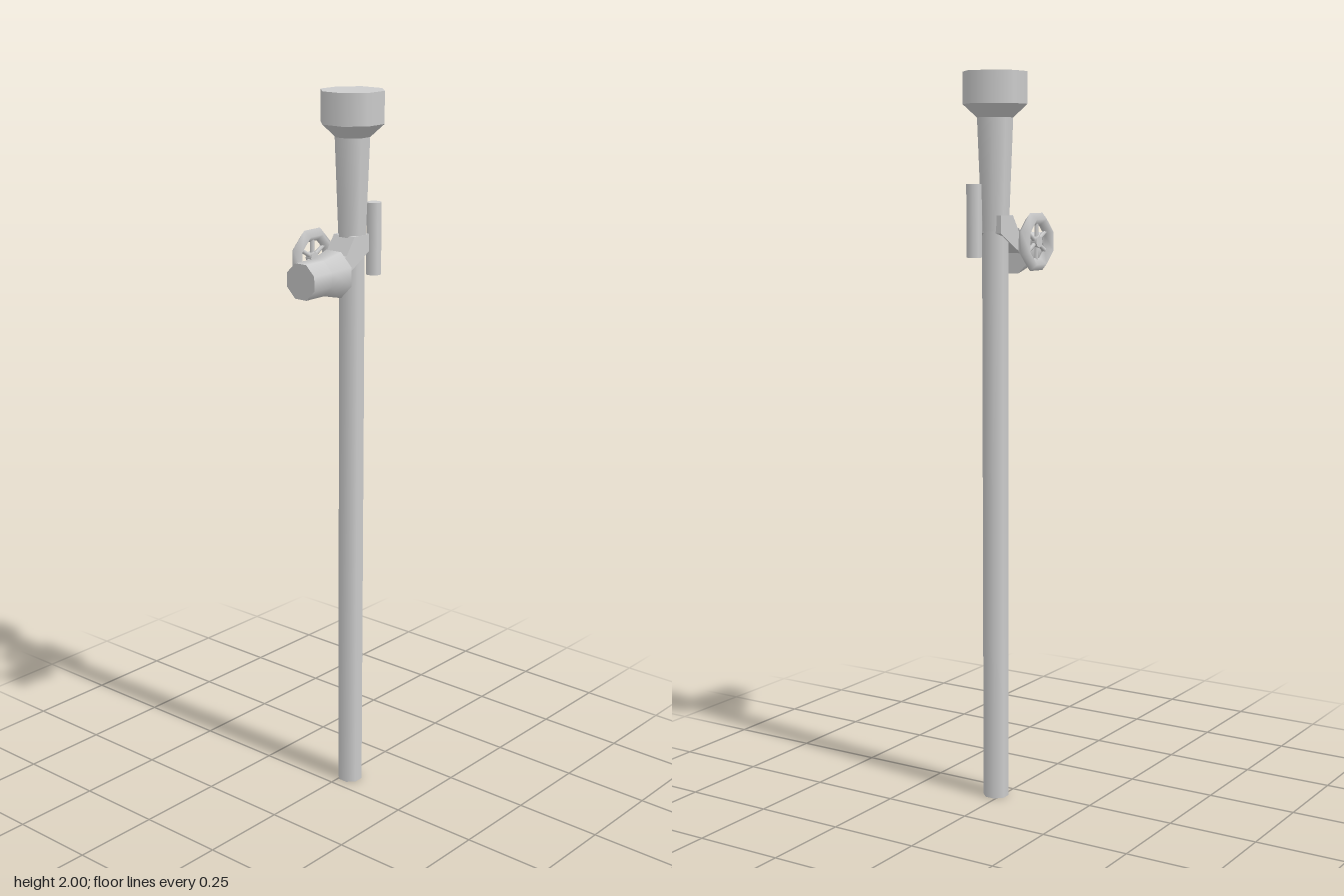
import * as THREE from 'three';

export function createModel() {
  const model = new THREE.Group();
  const grey = new THREE.MeshStandardMaterial({ color: 0xcccccc });
  grey.name = 'plain grey';
  const PX = 0.018, PZ = -0.062; // axis of the upright pipe

  function add(name, geometry, parent = model) {
    const mesh = new THREE.Mesh(geometry, grey);
    mesh.name = name;
    parent.add(mesh);
    return mesh;
  }
  // Eight-sided section with its flats squared to the axes, from y0 up to y1
  function section(r0, r1, y0, y1, open = false) {
    return new THREE.CylinderGeometry(r1, r0, y1 - y0, 8, 1, open)
      .rotateY(Math.PI / 8).translate(0, (y0 + y1) / 2, 0);
  }

  // Upright pipe, flared neck and top drum
  const upright = new THREE.Group();
  upright.name = 'upright';
  upright.position.set(PX, 0, PZ);
  model.add(upright);
  add('pipe', section(0.036, 0.036, 0, 1.58), upright);
  add('neck', section(0.037, 0.049, 1.58, 1.88), upright);
  add('drumBase', section(0.049, 0.0877, 1.88, 1.915), upright);
  add('drum', section(0.0877, 0.0877, 1.915, 2), upright);

  // Spout pointing forward, with a wide rear collar
  const spout = new THREE.Group();
  spout.name = 'spout';
  spout.position.set(PX, 1.525, 0);
  spout.rotation.x = Math.PI / 2;
  model.add(spout);
  add('spoutCollar', section(0.067, 0.051, 0.013, 0.075), spout);
  add('spoutTube', section(0.051, 0.051, 0.075, 0.145), spout);

  // Bent arm from the collar up to the pipe: side profile in (z, y)
  const armShape = new THREE.Shape([
    [0.02, 1.515], [-0.03, 1.54], [-0.09, 1.575],
    [-0.09, 1.622], [-0.03, 1.622], [0.003, 1.575], [0.02, 1.565],
  ].map(([z, y]) => new THREE.Vector2(-z, y)));
  const arm = new THREE.ExtrudeGeometry(armShape, { depth: 0.072, bevelEnabled: false });
  arm.rotateY(Math.PI / 2).translate(PX - 0.036, 0, 0);
  add('arm', arm);

  // Short rod behind the pipe
  add('sideRod', section(0.021, 0.021, 1.51, 1.705)).position.set(0.055, 0, -0.109);

  // Hand wheel at the side
  const wheel = new THREE.Group();
  wheel.name = 'handWheel';
  wheel.position.set(-0.083, 1.552, -0.016);
  wheel.rotation.y = Math.PI / 2;
  model.add(wheel);
  add('wheelRim', new THREE.TorusGeometry(0.065, 0.018, 4, 8).rotateZ(Math.PI / 8), wheel);
  add('wheelHub', new THREE.CylinderGeometry(0.016, 0.016, 0.02, 8).rotateX(Math.PI / 2), wheel);
  for (let i = 0; i < 3; i++) {
    add('wheelSpoke', new THREE.CylinderGeometry(0.006, 0.006, 0.11, 6), wheel)
      .rotation.z = i * Math.PI / 3;
  }
  return model;
}
